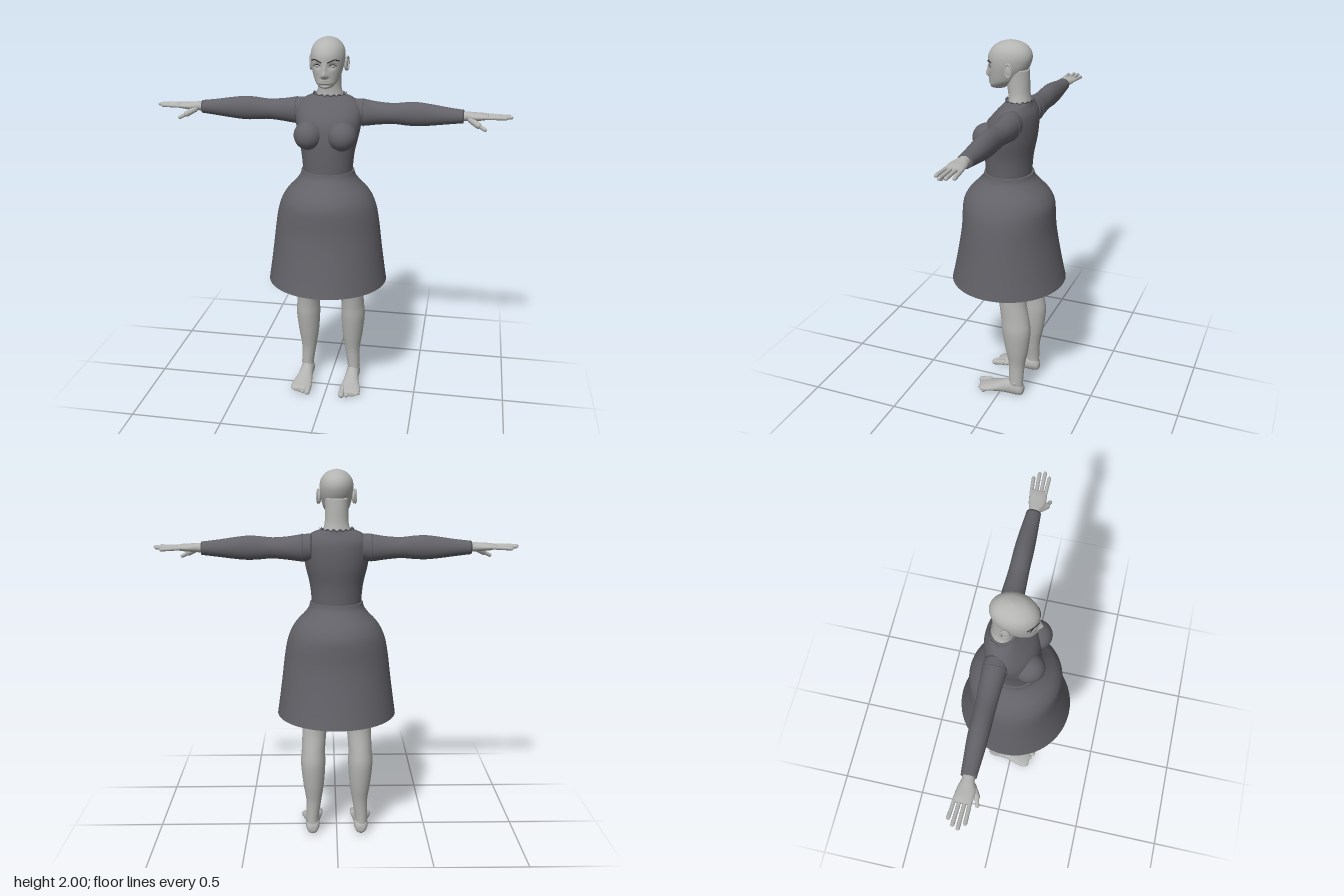
import * as THREE from 'three';

const skin = new THREE.MeshStandardMaterial({ color: 0xb4b4b2, side: THREE.DoubleSide });
skin.name = 'skin';
const cloth = new THREE.MeshStandardMaterial({ color: 0x636268, side: THREE.DoubleSide });
cloth.name = 'dark cloth';
const hair = new THREE.MeshStandardMaterial({ color: 0x2c2c2e });
hair.name = 'brow hair';

// Smooth surface through elliptical sections [along, centreU, centreV, radiusU, radiusV], rising in y
function loft(rows, { seg = 40, steps = 5, cap = true, bend = null } = {}) {
  const at = (k) => rows[Math.max(0, Math.min(rows.length - 1, k))];
  const pos = [], idx = [];
  const count = (rows.length - 1) * steps;
  for (let i = 0; i <= count; i++) {
    const k = Math.min(Math.floor(i / steps), rows.length - 2), s = i / steps - k;
    const [y, cx, cz, rx, rz] = at(k).map((b, n) => {
      const a = at(k - 1)[n], c = at(k + 1)[n], d = at(k + 2)[n];
      return b + 0.5 * s * (c - a + s * (2 * a - 5 * b + 4 * c - d + s * (3 * (b - c) + d - a)));
    });
    for (let j = 0; j < seg; j++) {
      const t = (j / seg) * Math.PI * 2;
      const p = new THREE.Vector3(cx + rx * Math.cos(t), y, cz + rz * Math.sin(t));
      if (bend) bend(p, t);
      pos.push(p.x, p.y, p.z);
    }
  }
  for (let i = 0; i < count; i++) for (let j = 0; j < seg; j++) {
    const a = i * seg + j, b = i * seg + (j + 1) % seg;
    idx.push(a, a + seg, b, b, a + seg, b + seg);
  }
  if (cap) {
    const top = count * seg, n = pos.length / 3, first = rows[0], last = rows[rows.length - 1];
    pos.push(first[1], first[0], first[2], last[1], last[0], last[2]);
    for (let j = 0; j < seg; j++) {
      const k = (j + 1) % seg;
      idx.push(n, j, k, n + 1, top + k, top + j);
    }
  }
  const g = new THREE.BufferGeometry();
  g.setAttribute('position', new THREE.Float32BufferAttribute(pos, 3));
  g.setIndex(idx);
  g.computeVertexNormals();
  return g;
}

// Rounded rod between two points
function rod(a, b, r) {
  const p = new THREE.Vector3(...a), q = new THREE.Vector3(...b), d = q.clone().sub(p);
  const g = new THREE.CapsuleGeometry(r, d.length(), 5, 12);
  g.applyQuaternion(new THREE.Quaternion().setFromUnitVectors(new THREE.Vector3(0, 1, 0), d.normalize()));
  return g.translate((p.x + q.x) / 2, (p.y + q.y) / 2, (p.z + q.z) / 2);
}

function ball(x, y, z, rx, ry, rz) {
  return new THREE.SphereGeometry(1, 28, 20).scale(rx, ry, rz).translate(x, y, z);
}

function strand(points, r) {
  return new THREE.TubeGeometry(new THREE.CatmullRomCurve3(points.map((p) => new THREE.Vector3(...p))), 16, r, 6);
}

function mirrored(geo) {
  const g = geo.clone().scale(-1, 1, 1), ix = g.index.array;
  for (let i = 0; i < ix.length; i += 3) [ix[i], ix[i + 1]] = [ix[i + 1], ix[i]];
  return g;
}

const bump = (d, w) => Math.exp(-(d * d) / (w * w));

// Nose, eye sockets, lips and chin pressed into the head
function sculptFace(p, t) {
  if (Math.sin(t) < 0.25) return;
  const { x, y } = p, ax = Math.abs(x);
  p.z += 0.02 * bump(x, 0.013) * bump(y - 1.823, 0.017);
  p.z += 0.01 * bump(x, 0.009) * bump(y - 1.85, 0.022);
  p.z += 0.006 * bump(ax - 0.012, 0.009) * bump(y - 1.817, 0.009);
  p.z -= 0.012 * bump(ax - 0.037, 0.018) * bump(y - 1.866, 0.014);
  p.z += 0.007 * bump(x, 0.022) * (bump(y - 1.794, 0.005) + bump(y - 1.782, 0.005));
  p.z -= 0.005 * bump(x, 0.03) * bump(y - 1.772, 0.006);
}

export function createModel() {
  const model = new THREE.Group();
  model.name = 'woman in skirt';
  const add = (name, geo, mat) => {
    const m = new THREE.Mesh(geo, mat);
    m.name = name;
    model.add(m);
  };
  const pair = (name, geo, mat) => {
    add('left ' + name, geo, mat);
    add('right ' + name, mirrored(geo), mat);
  };

  // Head and neck
  add('head', loft([
    [1.752, 0, 0.07, 0.012, 0.015], [1.758, 0, 0.06, 0.032, 0.038], [1.775, 0, 0.05, 0.05, 0.054],
    [1.80, 0, 0.025, 0.066, 0.079], [1.84, 0, 0.01, 0.078, 0.097], [1.88, 0, 0, 0.086, 0.11],
    [1.92, 0, -0.006, 0.087, 0.114], [1.955, 0, -0.01, 0.077, 0.1], [1.982, 0, -0.012, 0.053, 0.07],
    [1.995, 0, -0.012, 0.026, 0.034], [2.0, 0, -0.012, 0.003, 0.004],
  ], { seg: 96, steps: 7, bend: sculptFace }), skin);
  add('neck', loft([
    [1.65, 0, -0.06, 0.09, 0.06], [1.70, 0, -0.058, 0.07, 0.058], [1.74, 0, -0.054, 0.061, 0.056],
    [1.80, 0, -0.048, 0.06, 0.06], [1.86, 0, -0.045, 0.062, 0.06],
  ]), skin);

  // Facial details
  pair('eye', ball(0.037, 1.866, 0.077, 0.017, 0.011, 0.015), skin);
  pair('eyebrow', strand([[0.014, 1.884, 0.109], [0.03, 1.891, 0.104], [0.05, 1.898, 0.092], [0.07, 1.89, 0.068]], 0.003), hair);
  pair('eyelash', strand([[0.019, 1.862, 0.097], [0.03, 1.873, 0.094], [0.045, 1.873, 0.088], [0.06, 1.865, 0.08]], 0.002), hair);
  pair('ear', ball(0.088, 1.862, -0.028, 0.01, 0.034, 0.021), skin);
  pair('ear rim', new THREE.TorusGeometry(0.023, 0.005, 8, 28).scale(0.85, 1.4, 1)
    .rotateY(Math.PI / 2 - 0.25).translate(0.095, 1.865, -0.03), skin);

  // Bodice
  add('bodice', loft([
    [1.29, 0, 0.002, 0.13, 0.12], [1.40, 0, 0, 0.14, 0.126], [1.50, 0, -0.01, 0.162, 0.134],
    [1.58, 0, -0.022, 0.174, 0.128], [1.64, 0, -0.042, 0.167, 0.103], [1.68, 0, -0.052, 0.132, 0.075],
    [1.70, 0, -0.056, 0.085, 0.064],
  ], { seg: 56 }), cloth);
  pair('bust', ball(0.088, 1.51, 0.085, 0.075, 0.076, 0.079), cloth);
  add('ruffled collar', loft([
    [1.675, 0, -0.056, 0.1, 0.072], [1.695, 0, -0.056, 0.085, 0.066], [1.705, 0, -0.056, 0.088, 0.07],
  ], { seg: 96, cap: false, bend: (p, t) => {
    const f = Math.max(0, (p.y - 1.68) / 0.025);
    p.y += 0.005 * f * Math.sin(t * 17);
    p.x *= 1 + 0.04 * f * Math.sin(t * 12);
  } }), cloth);

  // Open bell skirt
  add('skirt', loft([
    [0.69, 0, 0, 0.322, 0.313], [0.78, 0, 0, 0.309, 0.292], [0.9, 0, 0, 0.293, 0.268],
    [1.0, 0, 0, 0.281, 0.252], [1.09, 0, 0, 0.266, 0.248], [1.15, 0, 0, 0.246, 0.242],
    [1.2, 0, 0, 0.216, 0.216], [1.24, 0, 0, 0.178, 0.178], [1.27, 0, 0, 0.154, 0.15],
    [1.29, 0, 0, 0.144, 0.136], [1.31, 0, 0, 0.14, 0.13],
  ], { seg: 64, steps: 3, cap: false }), cloth);
  add('waistband', loft([
    [1.31, 0, 0, 0.14, 0.13], [1.311, 0, 0, 0.12, 0.11],
  ], { seg: 64, steps: 1, cap: false }), cloth);

  // Sleeves and hands, lofted along x
  const alongX = (rows, opt) => loft(rows.map(([x, y, z, ry, rz]) => [x, -y, z, ry, rz]), opt).rotateZ(-Math.PI / 2);
  pair('sleeve', alongX([
    [0.13, 1.61, -0.062, 0.068, 0.06], [0.18, 1.606, -0.064, 0.07, 0.06], [0.25, 1.605, -0.065, 0.06, 0.056],
    [0.33, 1.606, -0.064, 0.054, 0.052], [0.4, 1.607, -0.064, 0.06, 0.05], [0.46, 1.607, -0.064, 0.062, 0.05],
    [0.53, 1.606, -0.064, 0.055, 0.048], [0.61, 1.605, -0.063, 0.044, 0.043], [0.695, 1.605, -0.062, 0.034, 0.037],
  ]), cloth);
  pair('sleeve seam', new THREE.TorusGeometry(0.066, 0.004, 6, 40).scale(0.91, 1.04, 1)
    .rotateY(Math.PI / 2).translate(0.178, 1.606, -0.064), cloth);
  pair('palm', alongX([
    [0.67, 1.607, -0.062, 0.025, 0.029], [0.71, 1.608, -0.06, 0.024, 0.03], [0.75, 1.608, -0.058, 0.021, 0.042],
    [0.79, 1.609, -0.06, 0.018, 0.045], [0.82, 1.61, -0.062, 0.012, 0.041],
  ], { seg: 24 }), skin);
  const fingers = [[-0.098, -0.106, 0.895], [-0.074, -0.08, 0.922], [-0.05, -0.053, 0.932], [-0.027, -0.026, 0.906]];
  fingers.forEach(([z0, z1, x], i) => {
    pair('finger ' + (i + 1), rod([0.8, 1.609, z0], [x, 1.611 - (i === 0 ? 0.006 : 0), z1], 0.0095), skin);
  });
  pair('thumb base', rod([0.73, 1.595, -0.035], [0.77, 1.573, -0.008], 0.016), skin);
  pair('thumb', rod([0.765, 1.575, -0.01], [0.805, 1.555, 0.002], 0.01), skin);

  // Legs
  pair('leg', loft([
    [0.05, 0.136, -0.095, 0.034, 0.042], [0.1, 0.136, -0.095, 0.035, 0.041], [0.2, 0.128, -0.096, 0.042, 0.046],
    [0.3, 0.128, -0.096, 0.057, 0.065], [0.42, 0.13, -0.092, 0.067, 0.081], [0.5, 0.128, -0.084, 0.064, 0.079],
    [0.6, 0.122, -0.066, 0.066, 0.077], [0.69, 0.117, -0.052, 0.07, 0.089], [0.85, 0.108, -0.04, 0.088, 0.1],
    [1.05, 0.095, -0.02, 0.095, 0.115],
  ]), skin);
  pair('kneecap', ball(0.121, 0.635, -0.012, 0.036, 0.042, 0.03), skin);
  add('hips', ball(0, 1.08, -0.01, 0.19, 0.14, 0.13), skin);

  // Feet, lofted along z
  pair('foot', loft([
    [-0.141, 0.135, -0.038, 0.012, 0.014], [-0.132, 0.135, -0.04, 0.028, 0.032], [-0.105, 0.135, -0.05, 0.038, 0.048],
    [-0.05, 0.135, -0.048, 0.038, 0.046], [0.0, 0.136, -0.038, 0.044, 0.034], [0.06, 0.141, -0.027, 0.056, 0.023],
    [0.1, 0.143, -0.021, 0.055, 0.017], [0.12, 0.142, -0.018, 0.042, 0.011],
  ], { seg: 32 }).rotateX(Math.PI / 2), skin);
  for (let i = 0; i < 5; i++) {
    const r = i === 0 ? 0.017 : 0.0135 - i * 0.0007, x = i === 0 ? 0.098 : 0.106 + i * 0.0205;
    pair('toe ' + (i + 1), rod([x, r + 0.011, 0.075], [x, r + 0.001, 0.132 - i * 0.011], r), skin);
  }
  pair('ankle bone', ball(0.164, 0.09, -0.095, 0.01, 0.014, 0.014), skin);

  return model;
}
